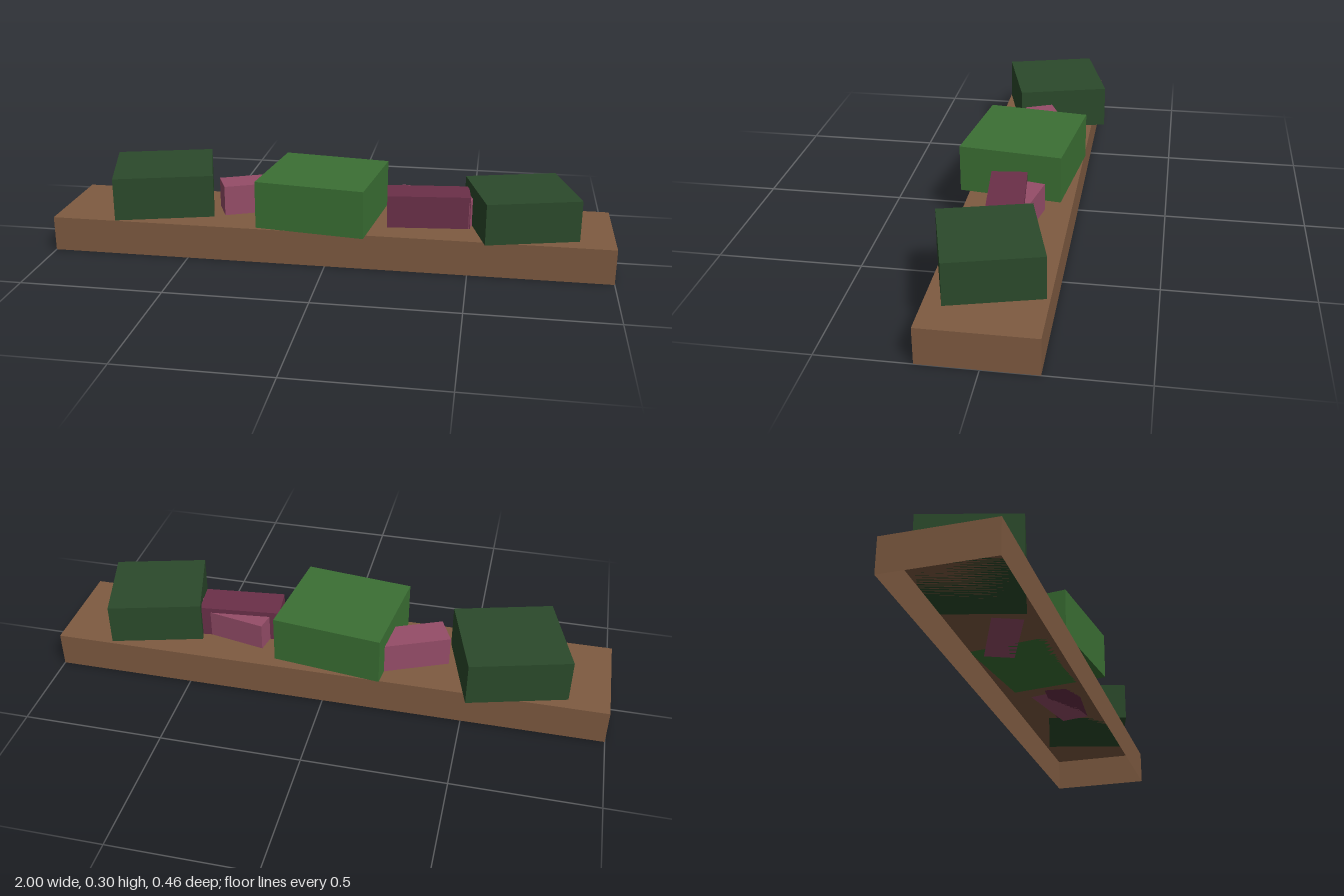
import * as THREE from 'three';

const material = (name, color, side = THREE.FrontSide) => {
  const m = new THREE.MeshStandardMaterial({ color, side });
  m.name = name;
  return m;
};

export function createModel() {
  const model = new THREE.Group();
  model.name = 'planter';
  const wood = material('brown wood', 0x7f5b41, THREE.DoubleSide);
  const darkGreen = material('dark green', 0x2b4a2b);
  const green = material('leaf green', 0x3b7034);
  const pink = material('pink', 0x954d68);
  const plum = material('plum', 0x6b3049);
  const rim = 0.126;

  // Planter box: thin shell, open underneath
  const shell = new THREE.BoxGeometry(2, rim, 0.375);
  const faces = Array.from(shell.index.array);
  faces.splice(18, 6); // drop the bottom face
  shell.setIndex(faces);
  shell.clearGroups();
  const box = new THREE.Mesh(shell, wood);
  box.name = 'planterBox';
  box.position.set(0, rim / 2, 0.008);
  model.add(box);

  // Plants: blocks standing on the planter, turned about the vertical
  const plants = [
    // name, material, x, z, width, top, depth, turn
    ['rightBush', darkGreen, -0.641, -0.019, 0.357, 0.282, 0.338, 0.273],
    ['middleBush', green, -0.032, 0.023, 0.393, 0.297, 0.368, -0.123],
    ['leftBush', darkGreen, 0.677, 0.027, 0.333, 0.272, 0.313, 0.265],
    ['rightFlowers', pink, -0.272, -0.035, 0.3, 0.235, 0.11, 0.41],
    ['leftFlowersBack', pink, 0.372, -0.006, 0.28, 0.225, 0.11, -0.2],
    ['leftFlowersFront', plum, 0.349, 0.027, 0.293, 0.243, 0.125, 0.1],
  ];
  for (const [name, mat, x, z, w, top, d, turn] of plants) {
    const plant = new THREE.Mesh(new THREE.BoxGeometry(w, top - rim, d), mat);
    plant.name = name;
    plant.position.set(x, (top + rim) / 2, z);
    plant.rotation.y = turn;
    model.add(plant);
  }
  return model;
}
